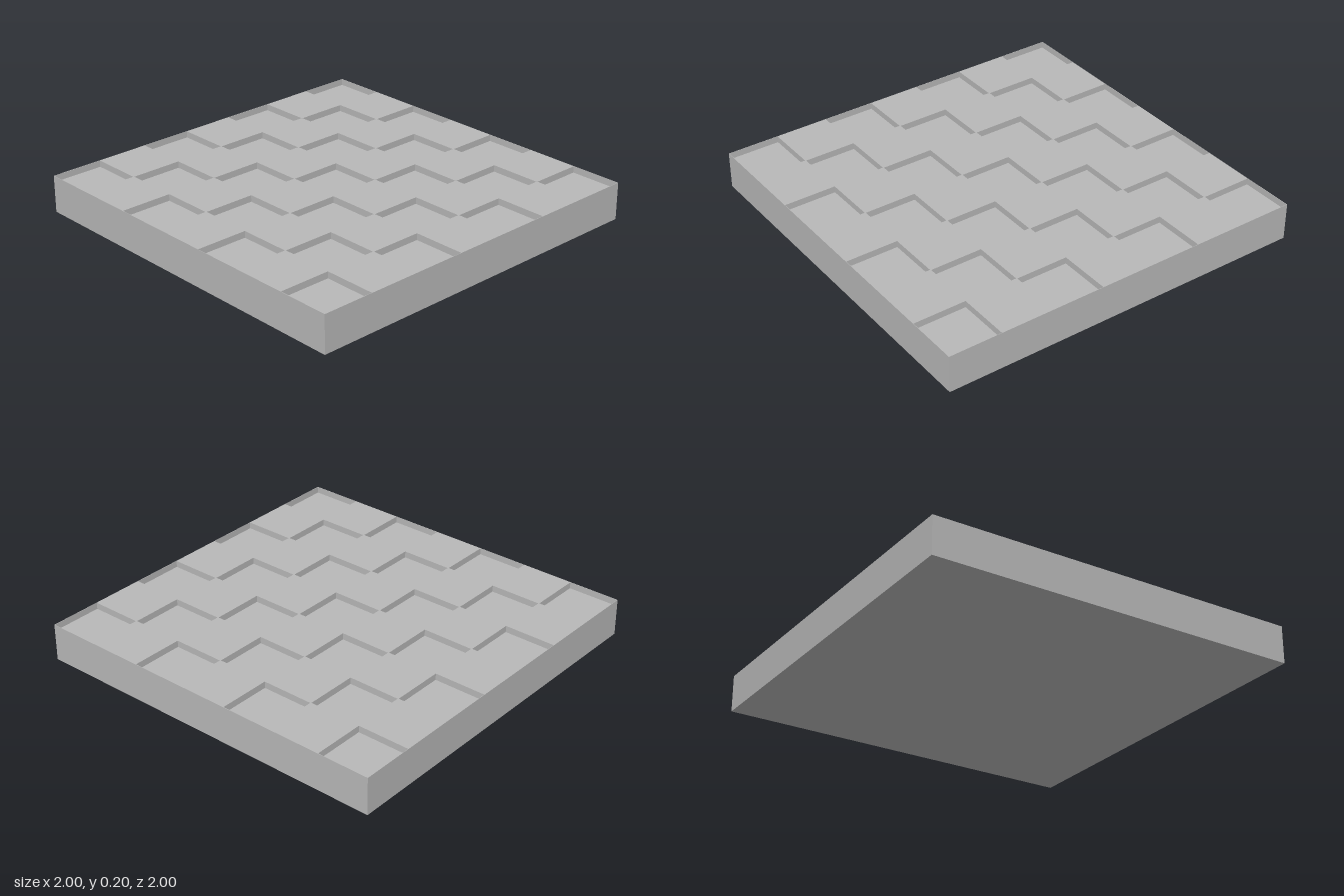
import * as THREE from 'three';

const SIZE = 2;
const HEIGHT = 0.2;
const DEPTH = 0.035; // depth of the recessed squares
const COUNT = 7;
const CELL = SIZE / COUNT;
const RIM = 0.002; // hairline wall left around every recess

export function createModel() {
  const model = new THREE.Group();
  model.name = 'checkeredTile';
  const grey = new THREE.MeshStandardMaterial({ color: 0xb8b8b8 });
  grey.name = 'grey';

  // Solid slab up to the floor of the recesses
  const baseHeight = HEIGHT - DEPTH;
  const base = new THREE.Mesh(new THREE.BoxGeometry(SIZE, baseHeight, SIZE), grey);
  base.name = 'base';
  base.position.y = baseHeight / 2;
  model.add(base);

  // Raised checker layer: a square sheet with every other cell cut out
  const h = SIZE / 2;
  const sheet = new THREE.Shape();
  sheet.moveTo(-h, -h).lineTo(h, -h).lineTo(h, h).lineTo(-h, h).closePath();
  for (let i = 0; i < COUNT; i++) {
    for (let j = 0; j < COUNT; j++) {
      if ((i + j) % 2) continue;
      const x0 = -h + i * CELL + RIM, x1 = x0 + CELL - 2 * RIM;
      const y0 = -h + j * CELL + RIM, y1 = y0 + CELL - 2 * RIM;
      const hole = new THREE.Path();
      hole.moveTo(x0, y0).lineTo(x0, y1).lineTo(x1, y1).lineTo(x1, y0).closePath();
      sheet.holes.push(hole);
    }
  }
  const geometry = new THREE.ExtrudeGeometry(sheet, { depth: DEPTH, bevelEnabled: false });
  geometry.rotateX(-Math.PI / 2);
  const checker = new THREE.Mesh(geometry, grey);
  checker.name = 'raisedChecker';
  checker.position.y = baseHeight;
  model.add(checker);

  return model;
}
